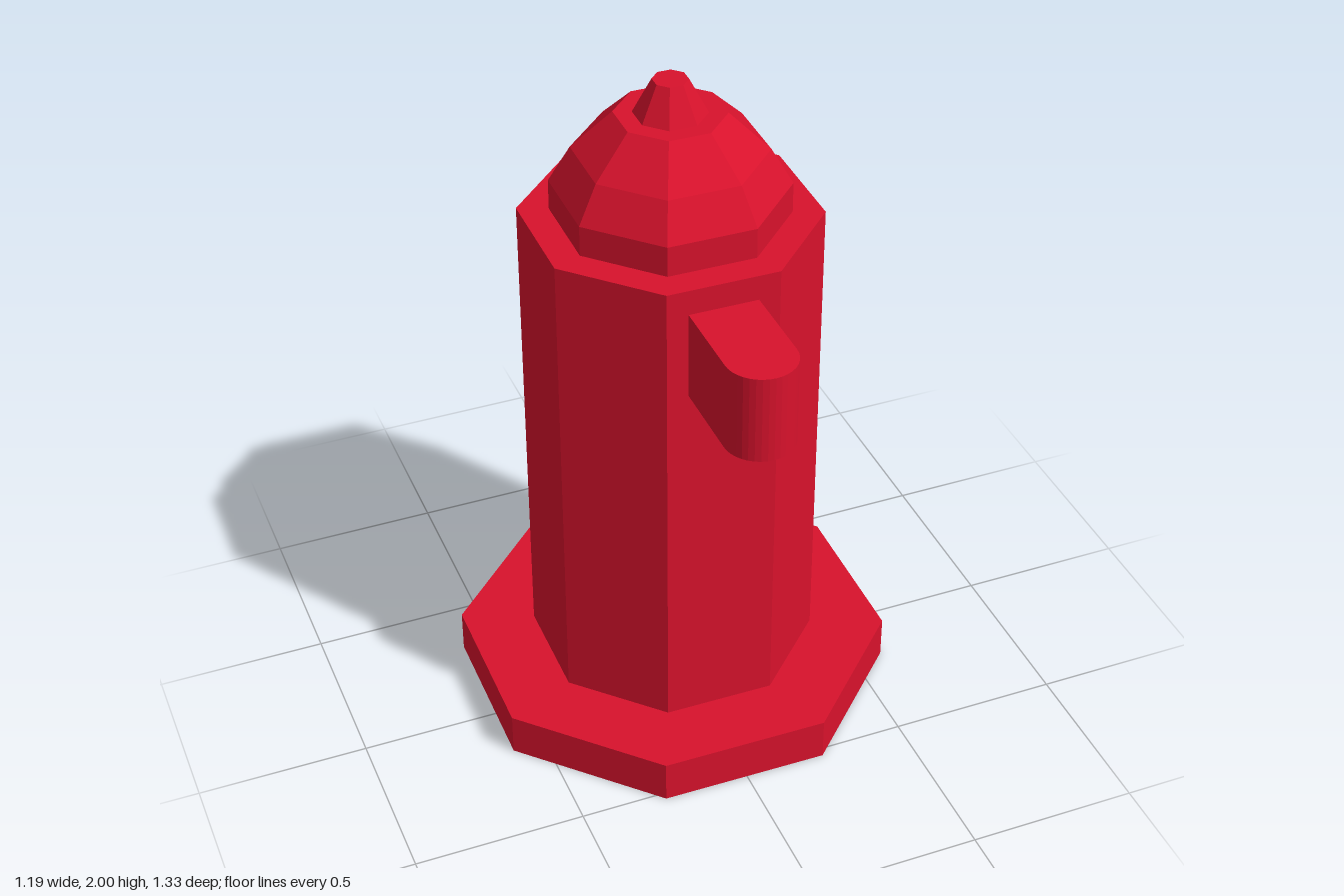
import * as THREE from 'three';

const material = new THREE.MeshStandardMaterial({
  color: 0xdc143c,
  flatShading: true,
  side: THREE.DoubleSide,
});
material.color.set(0xd8122c);

const AXIS_Z = -0.07; // the octagonal column sits behind the centre
const TWIST = -0.01;

// Eight-sided shell from [flat-to-centre radius, height] pairs, bottom to top
function octagonShell(name, profile) {
  const points = profile.map(([r, y]) => new THREE.Vector2(r / Math.cos(Math.PI / 8), y));
  const mesh = new THREE.Mesh(new THREE.LatheGeometry(points, 8, Math.PI / 8 + TWIST), material);
  mesh.name = name;
  mesh.position.z = AXIS_Z;
  return mesh;
}

// Spout with a rounded front end, extruded vertically
function createNozzle() {
  const r = 0.1, front = 0.565, back = 0.315;
  const shape = new THREE.Shape();
  shape.moveTo(-r, back);
  shape.lineTo(r, back);
  shape.lineTo(r, front);
  shape.absarc(0, front, r, 0, Math.PI, false);
  shape.closePath();
  const geometry = new THREE.ExtrudeGeometry(shape, { depth: 0.26, bevelEnabled: false, curveSegments: 9 });
  geometry.rotateX(Math.PI / 2);
  const mesh = new THREE.Mesh(geometry, material);
  mesh.name = 'nozzle';
  mesh.position.set(-0.004, 1.52, 0);
  return mesh;
}

export function createModel() {
  const group = new THREE.Group();
  group.name = 'hydrant';
  group.add(
    // Flange is open underneath, leading into the hollow body
    octagonShell('baseFlange', [[0.595, 0], [0.595, 0.13], [0.39, 0.13]]),
    octagonShell('body', [[0.39, 0.13], [0.39, 1.595], [0.307, 1.595]]),
    octagonShell('dome', [[0.307, 1.595], [0.307, 1.685], [0.25, 1.79], [0.143, 1.9], [0.095, 1.9]]),
    octagonShell('topKnob', [[0.095, 1.9], [0.046, 2], [0, 2]]),
    createNozzle(),
  );
  return group;
}
